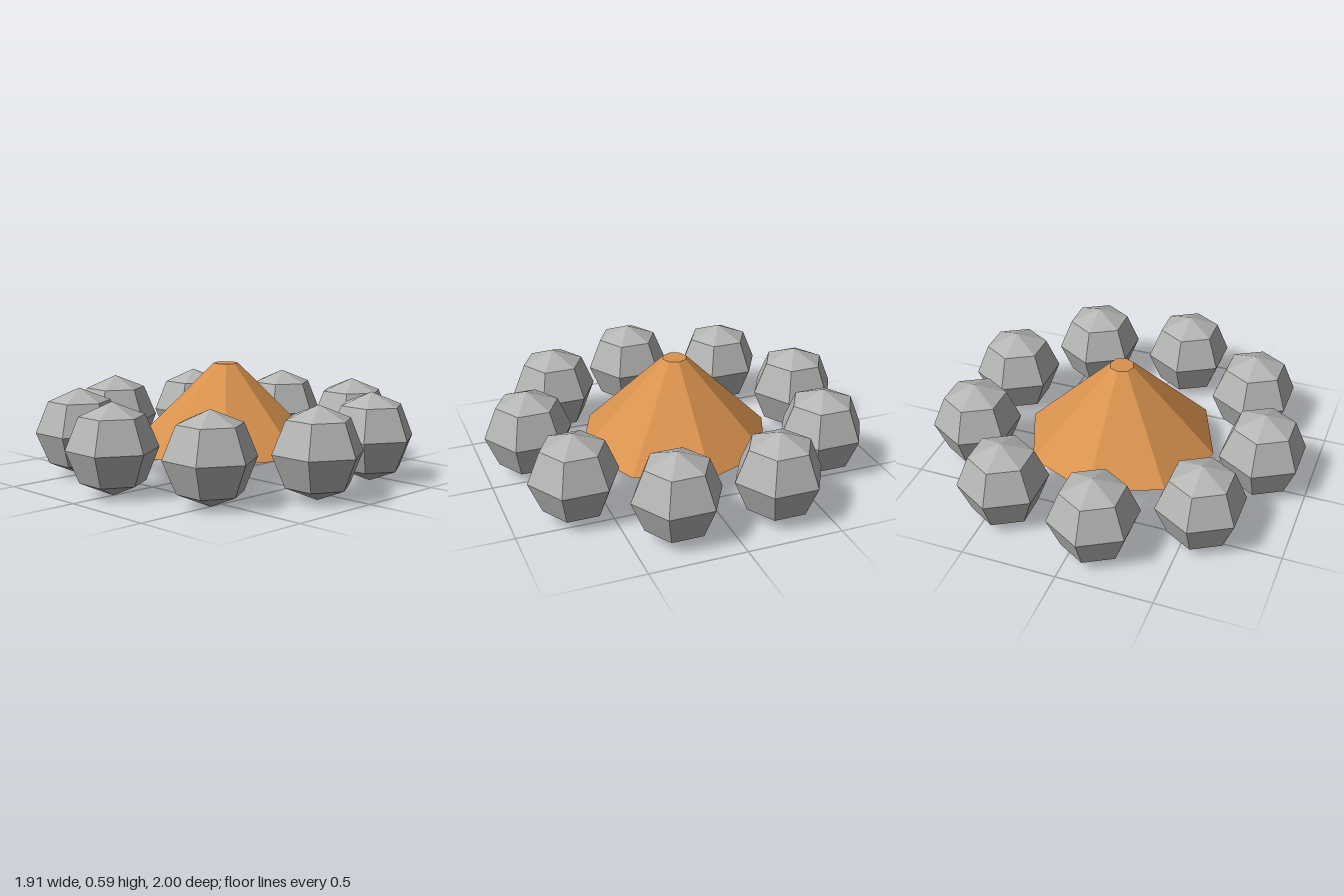
import * as THREE from 'three';

// Flat-faced copy of a geometry
function faceted(geometry) {
  const g = geometry.toNonIndexed();
  g.computeVertexNormals();
  return g;
}

export function createModel() {
  const model = new THREE.Group();
  model.name = 'campfire';

  const stoneGrey = new THREE.MeshStandardMaterial({ name: 'stoneGrey', color: 0xb4b6b3 });
  const emberOrange = new THREE.MeshStandardMaterial({ name: 'emberOrange', color: 0xd9924e });

  const centreX = 0.0235;
  const ringRadius = 0.778;
  const stoneRadius = 0.2335;
  const stoneCount = 9;

  // Central eight-sided truncated cone
  const bottom = 0.142, top = 0.592;
  const cone = new THREE.Mesh(
    faceted(new THREE.CylinderGeometry(0.065, 0.517, top - bottom, 8)), emberOrange);
  cone.name = 'firePile';
  cone.position.set(centreX, (bottom + top) / 2, 0);
  model.add(cone);

  // Ring of stones, all facing the same way with a corner towards the front
  const stoneGeometry = faceted(new THREE.SphereGeometry(stoneRadius, 6, 4).rotateY(Math.PI / 2));
  const stones = new THREE.Group();
  stones.name = 'stoneRing';
  for (let i = 0; i < stoneCount; i++) {
    const angle = Math.PI + (i / stoneCount) * Math.PI * 2;
    const stone = new THREE.Mesh(stoneGeometry, stoneGrey);
    stone.name = `stone${i + 1}`;
    stone.position.set(
      centreX + Math.cos(angle) * ringRadius, stoneRadius, Math.sin(angle) * ringRadius);
    stones.add(stone);
  }
  model.add(stones);

  return model;
}
